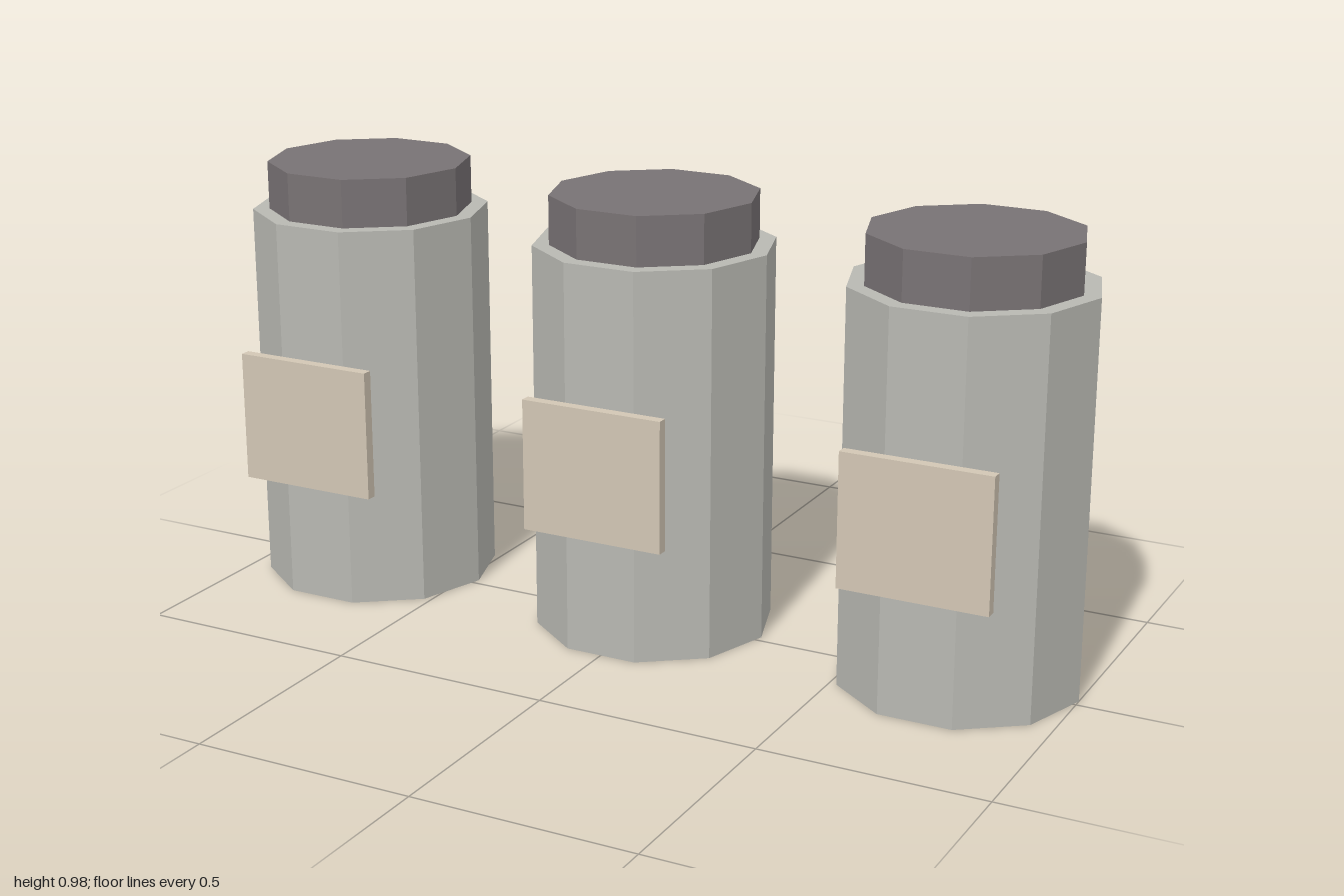
import * as THREE from 'three';

const SIDES = 10;
const material = (color) => new THREE.MeshStandardMaterial({ color, flatShading: true });

// Ten-sided drum with corners on the x axis and flats facing front and back
function drum(name, radius, bottom, top, mat) {
  const geometry = new THREE.CylinderGeometry(radius, radius, top - bottom, SIDES, 1, false, Math.PI / 2);
  const mesh = new THREE.Mesh(geometry, mat);
  mesh.name = name;
  mesh.position.y = (bottom + top) / 2;
  return mesh;
}

export function createModel() {
  const model = new THREE.Group();
  model.name = 'canisterRow';
  const bodyMat = material(0xb8b8b2);
  const lidMat = material(0x787274);
  const labelMat = material(0xd2c6b4);

  ['right', 'middle', 'left'].forEach((side, i) => {
    const canister = new THREE.Group();
    canister.name = side + 'Canister';
    canister.position.set((i - 1) * 0.733, 0, -0.019);

    canister.add(drum('body', 0.267, 0, 0.873, bodyMat));
    canister.add(drum('lid', 0.23, 0.873, 0.982, lidMat));

    // Label plate standing just clear of the front
    const label = new THREE.Mesh(new THREE.BoxGeometry(0.33, 0.294, 0.024), labelMat);
    label.name = 'label';
    label.position.set(0, 0.425, 0.281);
    canister.add(label);

    model.add(canister);
  });
  return model;
}
